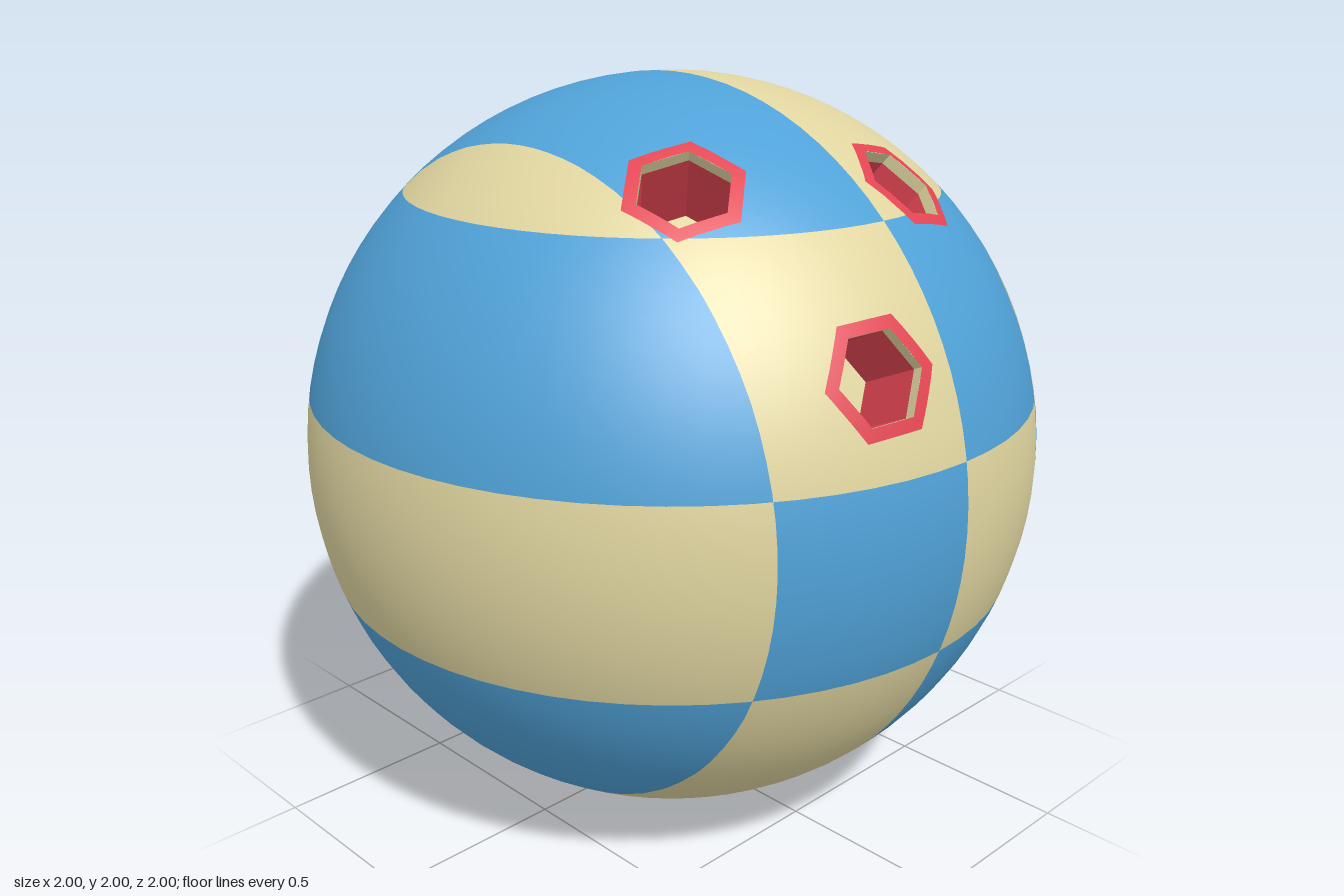
import * as THREE from 'three';

const material = (name, color) => Object.assign(new THREE.MeshStandardMaterial({ color }), { name });

// Cut a convex polygon by the plane n.p = d; returns [below, above]
function split(poly, n, d) {
  const below = [], above = [];
  poly.forEach((a, i) => {
    const b = poly[(i + 1) % poly.length];
    const da = n.dot(a) - d, db = n.dot(b) - d;
    if (da <= 0) below.push(a);
    if (da >= 0) above.push(a);
    if (da * db < 0) {
      const p = a.clone().lerp(b, da / (da - db));
      below.push(p);
      above.push(p);
    }
  });
  return [below, above].map(p => (p.length > 2 ? p : null));
}

// Separate a polygon into the part within a hexagonal prism and the parts outside
function cutHexagon(poly, hole, radius) {
  const outside = [];
  let inside = poly;
  for (let k = 0; k < 6 && inside; k++) {
    const a = (k + 0.5) * Math.PI / 3;
    const n = hole.u.clone().multiplyScalar(Math.cos(a)).addScaledVector(hole.v, Math.sin(a));
    const [below, above] = split(inside, n, radius * Math.cos(Math.PI / 6));
    if (above) outside.push(above);
    inside = below;
  }
  return { inside, outside };
}

// Finger holes: axis direction, and direction of one hexagon corner
const RIM = 0.157, BORE = 0.12, TOP = 0.993, BAND = 0.03, DEPTH = 0.22;
const holes = [
  [[-0.206, 0.405, 0.89], [0.29, 0.016, 0.06]],
  [[0.197, 0.76, 0.61], [0.284, -0.086, -0.053]],
  [[-0.396, 0.8, 0.447], [0.273, 0.09, 0.134]],
].map(([axis, corner]) => {
  const w = new THREE.Vector3(...axis).normalize();
  const u = new THREE.Vector3(...corner).projectOnPlane(w).normalize();
  return { w, u, v: w.clone().cross(u) };
});

// Checker grid lines, with the ball centre at the origin
const X_LINES = [-0.51, 0.005, 0.53];
const Y_LINES = [-0.86, -0.335, 0.175, 0.705];
const X = new THREE.Vector3(1, 0, 0), Y = new THREE.Vector3(0, 1, 0);

function ballSurfaces() {
  const parts = { cream: [], blue: [], rim: [] };
  const emit = (poly, list) => {
    for (let i = 1; i < poly.length - 1; i++) {
      for (const p of [poly[0], poly[i], poly[i + 1]]) list.push(p.x, p.y, p.z);
    }
  };
  const pos = new THREE.SphereGeometry(1, 64, 48).toNonIndexed().attributes.position;
  for (let i = 0; i < pos.count; i += 3) {
    let polys = [[0, 1, 2].map(k => new THREE.Vector3().fromBufferAttribute(pos, i + k))];

    // Open the bores and set aside the rims
    for (const hole of holes) {
      if (polys.length && polys[0][0].distanceTo(hole.w) > 0.4) continue;
      polys = polys.flatMap(poly => {
        const rim = cutHexagon(poly, hole, RIM);
        if (rim.inside) cutHexagon(rim.inside, hole, BORE).outside.forEach(p => emit(p, parts.rim));
        return rim.outside;
      });
    }

    // Divide the rest along the checker lines
    for (const [n, lines] of [[X, X_LINES], [Y, Y_LINES]]) {
      for (const d of lines) polys = polys.flatMap(p => split(p, n, d).filter(Boolean));
    }
    for (const poly of polys) {
      const c = poly.reduce((s, p) => s.add(p), new THREE.Vector3()).divideScalar(poly.length);
      const cell = X_LINES.filter(d => c.x > d).length + Y_LINES.filter(d => c.y > d).length;
      emit(poly, cell % 2 ? parts.blue : parts.cream);
    }
  }
  return parts;
}

export function createModel() {
  const cream = material('cream', 0xe0d5a0);
  const blue = material('blue', 0x50a2d8);
  const red = material('red', 0xe24552);

  const model = new THREE.Group();
  model.name = 'checkeredBall';
  const ball = new THREE.Group();
  ball.name = 'ball';
  ball.position.y = 1;
  model.add(ball);

  const add = (parent, name, geometry, mat) => {
    const mesh = new THREE.Mesh(geometry, mat);
    mesh.name = name;
    parent.add(mesh);
    return mesh;
  };

  // Outer surface, smooth-shaded with radial normals
  const surfaces = ballSurfaces();
  for (const [key, name, mat] of [['cream', 'creamChecks', cream], ['blue', 'blueChecks', blue], ['rim', 'holeRims', red]]) {
    const g = new THREE.BufferGeometry();
    g.setAttribute('position', new THREE.Float32BufferAttribute(surfaces[key], 3));
    g.setAttribute('normal', g.attributes.position.clone());
    g.normalizeNormals();
    add(ball, name, g, mat);
  }

  // Inward-facing hexagonal tube between two heights
  const tube = (top, bottom) => {
    const g = new THREE.CylinderGeometry(BORE, BORE, top - bottom, 6, 1, true)
      .scale(-1, 1, 1).translate(0, (top + bottom) / 2, 0).toNonIndexed();
    g.computeVertexNormals();
    return g;
  };

  // Hole linings: cream lip, red wall, cream floor
  for (const { w, u } of holes) {
    const hole = new THREE.Group();
    hole.name = 'fingerHole';
    hole.quaternion.setFromRotationMatrix(new THREE.Matrix4().makeBasis(w.clone().cross(u), w, u));
    add(hole, 'holeLip', tube(TOP, TOP - BAND), cream);
    add(hole, 'holeWall', tube(TOP - BAND, TOP - DEPTH), red);
    const floor = new THREE.CircleGeometry(BORE, 6, Math.PI / 2).rotateX(-Math.PI / 2);
    add(hole, 'holeFloor', floor.translate(0, TOP - DEPTH, 0), cream);
    ball.add(hole);
  }
  return model;
}
